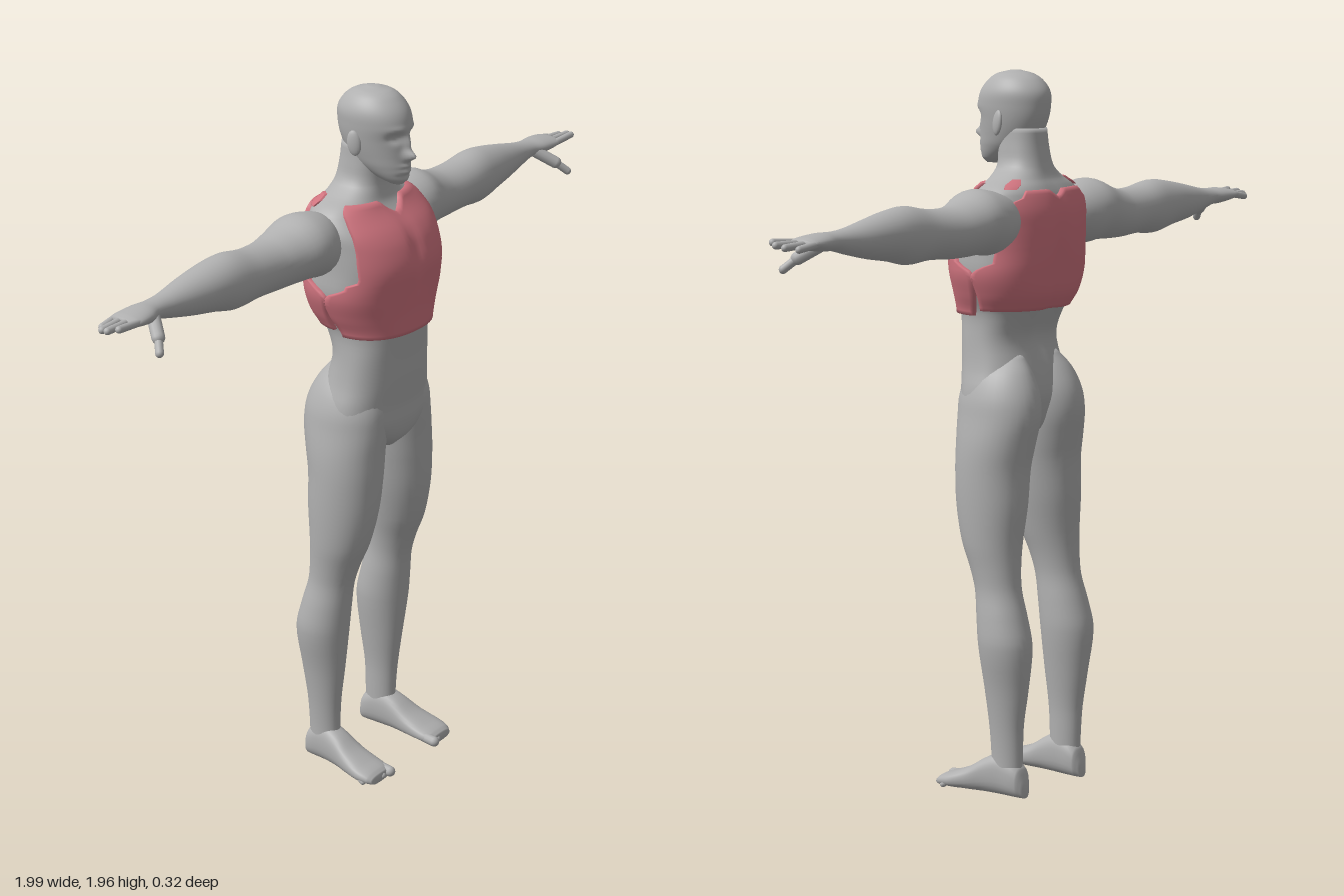
import * as THREE from 'three';

const skin = new THREE.MeshStandardMaterial({ color: 0xb0b0b0 });
skin.name = 'grey body';
const plate = new THREE.MeshStandardMaterial({ color: 0xd0747f, side: THREE.DoubleSide });
plate.name = 'pink armour';

// Smoothly interpolate rows of [t, ...values] at t
function at(rows, t) {
  let i = 0;
  while (i < rows.length - 2 && t > rows[i + 1][0]) i++;
  const a = rows[i], b = rows[i + 1], p = rows[i - 1] || a, q = rows[i + 2] || b;
  const h = b[0] - a[0], k = (t - a[0]) / h;
  return a.map((_, j) => {
    const m0 = h * (b[j] - p[j]) / (b[0] - p[0]), m1 = h * (q[j] - a[j]) / (q[0] - a[0]);
    return (2 * k ** 3 - 3 * k * k + 1) * a[j] + (k ** 3 - 2 * k * k + k) * m0 +
      (3 * k * k - 2 * k ** 3) * b[j] + (k ** 3 - k * k) * m1;
  });
}
const linear = (rows, t) => {
  let i = 0;
  while (i < rows.length - 2 && t > rows[i + 1][0]) i++;
  const [a, b] = [rows[i], rows[i + 1]];
  return a[1] + (b[1] - a[1]) * (t - a[0]) / (b[0] - a[0]);
};
const pw = (c, e) => Math.sign(c) * Math.abs(c) ** e;
const bell = (d, w) => Math.exp(-((d / w) ** 2));

function mesh(name, geometry, material = skin) {
  const m = new THREE.Mesh(geometry, material);
  m.name = name;
  return m;
}
function surface(points, index) {
  const g = new THREE.BufferGeometry();
  g.setAttribute('position', new THREE.Float32BufferAttribute(points, 3));
  g.setIndex(index);
  g.computeVertexNormals();
  return g;
}

// Closed loft: point(t, angle) gives each ring; both ends are capped
function loft(rows, point, sides = 32, steps = 4) {
  const pts = [], idx = [], ts = [];
  rows.forEach((r, i) => {
    if (i === rows.length - 1) ts.push(r[0]);
    else for (let k = 0; k < steps; k++) ts.push(r[0] + (rows[i + 1][0] - r[0]) * k / steps);
  });
  for (const t of ts) for (let j = 0; j < sides; j++) pts.push(...point(t, j / sides * Math.PI * 2));
  for (let i = 0; i < ts.length - 1; i++) for (let j = 0; j < sides; j++) {
    const a = i * sides + j, b = i * sides + (j + 1) % sides;
    idx.push(a, b, a + sides, b, b + sides, a + sides);
  }
  for (const [row, flip] of [[0, true], [ts.length - 1, false]]) {
    const c = pts.length / 3, mid = [0, 0, 0];
    for (let j = 0; j < sides; j++) for (let n = 0; n < 3; n++) mid[n] += pts[(row * sides + j) * 3 + n] / sides;
    pts.push(...mid);
    for (let j = 0; j < sides; j++) {
      const a = row * sides + j, b = row * sides + (j + 1) % sides;
      idx.push(...(flip ? [b, a, c] : [a, b, c]));
    }
  }
  // Turn the faces outward if the enclosed volume is negative
  let vol = 0;
  const v = k => new THREE.Vector3(pts[k * 3], pts[k * 3 + 1], pts[k * 3 + 2]);
  for (let i = 0; i < idx.length; i += 3) vol += v(idx[i]).dot(v(idx[i + 1]).cross(v(idx[i + 2])));
  return surface(pts, vol < 0 ? idx.reverse() : idx);
}

// Torso and neck: [y, half width, front z, back z]
const torso = [
  [0.965, 0.03, 0.07, -0.03], [1.0, 0.1, 0.105, -0.07], [1.05, 0.165, 0.118, -0.09], [1.1, 0.175, 0.117, -0.1],
  [1.17, 0.158, 0.125, -0.09], [1.25, 0.148, 0.13, -0.075], [1.32, 0.148, 0.137, -0.105], [1.37, 0.17, 0.138, -0.132],
  [1.43, 0.19, 0.143, -0.142], [1.5, 0.188, 0.15, -0.148], [1.56, 0.188, 0.133, -0.148], [1.6, 0.188, 0.108, -0.143],
  [1.64, 0.172, 0.07, -0.13], [1.66, 0.15, 0.055, -0.12], [1.68, 0.112, 0.048, -0.108],
  [1.71, 0.075, 0.043, -0.098], [1.76, 0.064, 0.043, -0.088], [1.81, 0.06, 0.04, -0.082],
];
function torsoPoint(y, angle, off = 0) {
  const [, rx, f, b] = at(torso, y), c = Math.cos(angle);
  const x = pw(Math.sin(angle), 0.86) * (rx + off);
  let z = (f + b) / 2 + pw(c, 0.86) * ((f - b) / 2 + off);
  if (c < 0) z += 0.016 * bell(x, 0.03) * bell(y - 1.38, 0.2); // spine
  else z -= 0.01 * bell(x, 0.02) * bell(y - 1.53, 0.07); // breastbone
  return [x, y, z];
}

// Thin plate over the torso; edge rows are [y, half angle in degrees]
function panel(name, centre, edge, notch = 0, off = 0.012) {
  const nu = 42, nv = 36, pts = [], idx = [];
  const y0 = edge[0][0], y1 = edge[edge.length - 1][0];
  for (let i = 0; i <= nv; i++) for (let j = 0; j <= nu; j++) {
    const rim = i === 0 || i === nv || j === 0 || j === nu;
    const u = (Math.min(Math.max(j - 1, 0), nu - 2) / (nu - 2)) * 2 - 1;
    const v = Math.min(Math.max(i - 1, 0), nv - 2) / (nv - 2);
    const half = linear(edge, y0 + (y1 - y0) * v) * Math.PI / 180;
    const y = y0 + (y1 - notch * Math.max(0, 1 - Math.abs(u) * 4.5) - y0) * v;
    pts.push(...torsoPoint(y, centre + u * half, rim ? 0 : off));
  }
  for (let i = 0; i < nv; i++) for (let j = 0; j < nu; j++) {
    const a = i * (nu + 1) + j, b = a + nu + 1;
    idx.push(a, a + 1, b, a + 1, b + 1, b);
  }
  return mesh(name, surface(pts, idx), plate);
}

// Head: [y, half width, front z, back z], with the face shaped by soft bumps
const skull = [
  [1.713, 0.016, 0.1, 0.06], [1.728, 0.036, 0.113, 0.02], [1.76, 0.056, 0.115, -0.04], [1.79, 0.066, 0.113, -0.07],
  [1.83, 0.075, 0.112, -0.09], [1.87, 0.08, 0.117, -0.098], [1.905, 0.079, 0.108, -0.096],
  [1.935, 0.064, 0.085, -0.075], [1.953, 0.042, 0.058, -0.046], [1.962, 0.012, 0.02, -0.01],
];
function headPoint(y, angle) {
  const [, rx, f, b] = at(skull, y), c = Math.cos(angle);
  const x = Math.sin(angle) * rx;
  let z = (f + b) / 2 + c * (f - b) / 2;
  if (c > 0) {
    z += 0.028 * bell(x, 0.013) * bell(y - 1.793, 0.014) + 0.014 * bell(x, 0.01) * bell(y - 1.825, 0.025);
    z -= 0.014 * bell(Math.abs(x) - 0.032, 0.017) * bell(y - 1.843, 0.013);
    z += 0.005 * bell(Math.abs(x) - 0.032, 0.008) * bell(y - 1.843, 0.006);
    z += 0.006 * bell(x, 0.02) * (bell(y - 1.765, 0.006) + bell(y - 1.75, 0.006)) - 0.004 * bell(x, 0.025) * bell(y - 1.738, 0.005);
    z += 0.004 * bell(Math.abs(x) - 0.03, 0.025) * bell(y - 1.865, 0.009);
  }
  return [x, y, z];
}

// Leg: [y, centre x, half width, front z, back z]
const leg = [
  [0.05, 0.13, 0.033, -0.02, -0.115], [0.12, 0.13, 0.034, -0.02, -0.117], [0.2, 0.132, 0.038, -0.015, -0.121],
  [0.3, 0.133, 0.05, -0.003, -0.135], [0.42, 0.137, 0.067, 0.01, -0.146], [0.5, 0.135, 0.064, 0.018, -0.128],
  [0.57, 0.132, 0.058, 0.027, -0.108], [0.63, 0.13, 0.063, 0.045, -0.102], [0.7, 0.126, 0.075, 0.073, -0.102],
  [0.8, 0.118, 0.088, 0.095, -0.11], [0.9, 0.111, 0.095, 0.102, -0.112], [0.97, 0.105, 0.097, 0.104, -0.125],
  [1.04, 0.097, 0.094, 0.108, -0.139], [1.1, 0.092, 0.088, 0.106, -0.134], [1.16, 0.085, 0.068, 0.085, -0.108],
  [1.21, 0.07, 0.035, 0.04, -0.07],
];
// Arm and palm: [x, centre y, half height, front z, back z]
const arm = [
  [0.1, 1.575, 0.045, -0.02, -0.1], [0.15, 1.573, 0.07, 0.02, -0.13], [0.2, 1.572, 0.086, 0.045, -0.147],
  [0.25, 1.576, 0.085, 0.045, -0.15], [0.31, 1.564, 0.074, 0.025, -0.143], [0.37, 1.557, 0.067, 0.014, -0.135],
  [0.45, 1.56, 0.066, 0.014, -0.128], [0.53, 1.564, 0.075, 0.013, -0.126], [0.6, 1.568, 0.064, 0.006, -0.124],
  [0.68, 1.567, 0.05, -0.01, -0.115], [0.76, 1.568, 0.033, -0.026, -0.099], [0.81, 1.572, 0.024, -0.028, -0.095],
  [0.85, 1.573, 0.023, -0.015, -0.102], [0.9, 1.574, 0.016, -0.012, -0.104], [0.92, 1.574, 0.01, -0.02, -0.098],
];
// Foot: [z, centre x, half width, top y]
const foot = [
  [-0.131, 0.128, 0.015, 0.04], [-0.115, 0.128, 0.032, 0.085], [-0.06, 0.13, 0.037, 0.115], [-0.01, 0.134, 0.041, 0.1],
  [0.04, 0.139, 0.049, 0.068], [0.09, 0.143, 0.055, 0.046], [0.125, 0.143, 0.051, 0.034], [0.14, 0.142, 0.042, 0.024],
];

// Rounded digit between two points
function digit(name, a, b, r) {
  const p = new THREE.Vector3(...a), q = new THREE.Vector3(...b), d = q.clone().sub(p);
  const m = mesh(name, new THREE.CapsuleGeometry(r, d.length(), 5, 12));
  m.position.copy(p).add(q).multiplyScalar(0.5);
  m.quaternion.setFromUnitVectors(new THREE.Vector3(0, 1, 0), d.normalize());
  return m;
}

function limbs(s) {
  const g = new THREE.Group();
  g.name = s > 0 ? 'leftLimbs' : 'rightLimbs';
  g.add(mesh('leg', loft(leg, (y, t) => {
    const [, cx, r, f, b] = at(leg, y);
    return [s * (cx + r * Math.sin(t)), y, (f + b) / 2 + (f - b) / 2 * Math.cos(t)];
  })));
  g.add(mesh('arm', loft(arm, (x, t) => {
    const [, cy, r, f, b] = at(arm, x);
    return [s * x, cy + r * Math.sin(t), (f + b) / 2 + (f - b) / 2 * Math.cos(t)];
  })));
  g.add(mesh('foot', loft(foot, (z, t) => {
    const [, cx, w, top] = at(foot, z);
    return [s * (cx + w * pw(Math.cos(t), 0.8)), top / 2 + top / 2 * pw(Math.sin(t), 0.8), z];
  }, 28)));
  // Toes, from the big one outward
  for (let i = 0; i < 5; i++) {
    const r = i ? 0.011 - i * 0.0006 : 0.015, x = 0.105 + i * 0.02 + (i ? 0.004 : 0);
    g.add(digit('toe', [s * x, r + 0.004, 0.105], [s * x, r, 0.143 - i * 0.008], r));
  }
  // Fingers and thumb
  [[-0.023, 0.972], [-0.047, 0.987], [-0.071, 0.98], [-0.094, 0.955]].forEach(([z, tip], i) => {
    g.add(digit('finger', [s * 0.895, 1.574, z], [s * tip, 1.58 - i * 0.005, z + 0.004], 0.0095));
  });
  g.add(digit('thumbBase', [s * 0.825, 1.562, -0.04], [s * 0.86, 1.53, 0.005], 0.017));
  g.add(digit('thumb', [s * 0.86, 1.53, 0.005], [s * 0.885, 1.503, 0.03], 0.011));
  // Ear
  const ear = mesh('ear', new THREE.SphereGeometry(1, 16, 12));
  ear.scale.set(0.009, 0.034, 0.019);
  ear.position.set(s * 0.081, 1.825, 0.003);
  ear.rotation.set(-0.15, s * -0.35, 0);
  g.add(ear);
  // Loose shoulder scrap of the armour
  g.add(panel('shoulderScrap', Math.PI - s * 1.0, [[1.655, 9], [1.667, 12], [1.679, 8]], 0, 0.008));
  return g;
}

export function createModel() {
  const model = new THREE.Group();
  model.name = 'figure';
  model.add(mesh('torso', loft(torso, torsoPoint, 64)));
  model.add(mesh('head', loft(skull, headPoint, 96, 8)));
  model.add(limbs(1), limbs(-1));
  // Breastplate and backplate with ragged arm openings
  model.add(panel('breastplate', 0, [
    [1.315, 88], [1.42, 92], [1.445, 88], [1.455, 74], [1.475, 72], [1.482, 60], [1.53, 60], [1.6, 56], [1.64, 58], [1.668, 66],
  ], 0.035));
  model.add(panel('backplate', Math.PI, [
    [1.33, 85], [1.43, 90], [1.45, 82], [1.46, 68], [1.5, 66], [1.51, 58], [1.57, 58], [1.58, 52], [1.625, 50], [1.632, 40], [1.652, 36],
  ], 0.02));
  return model;
}
